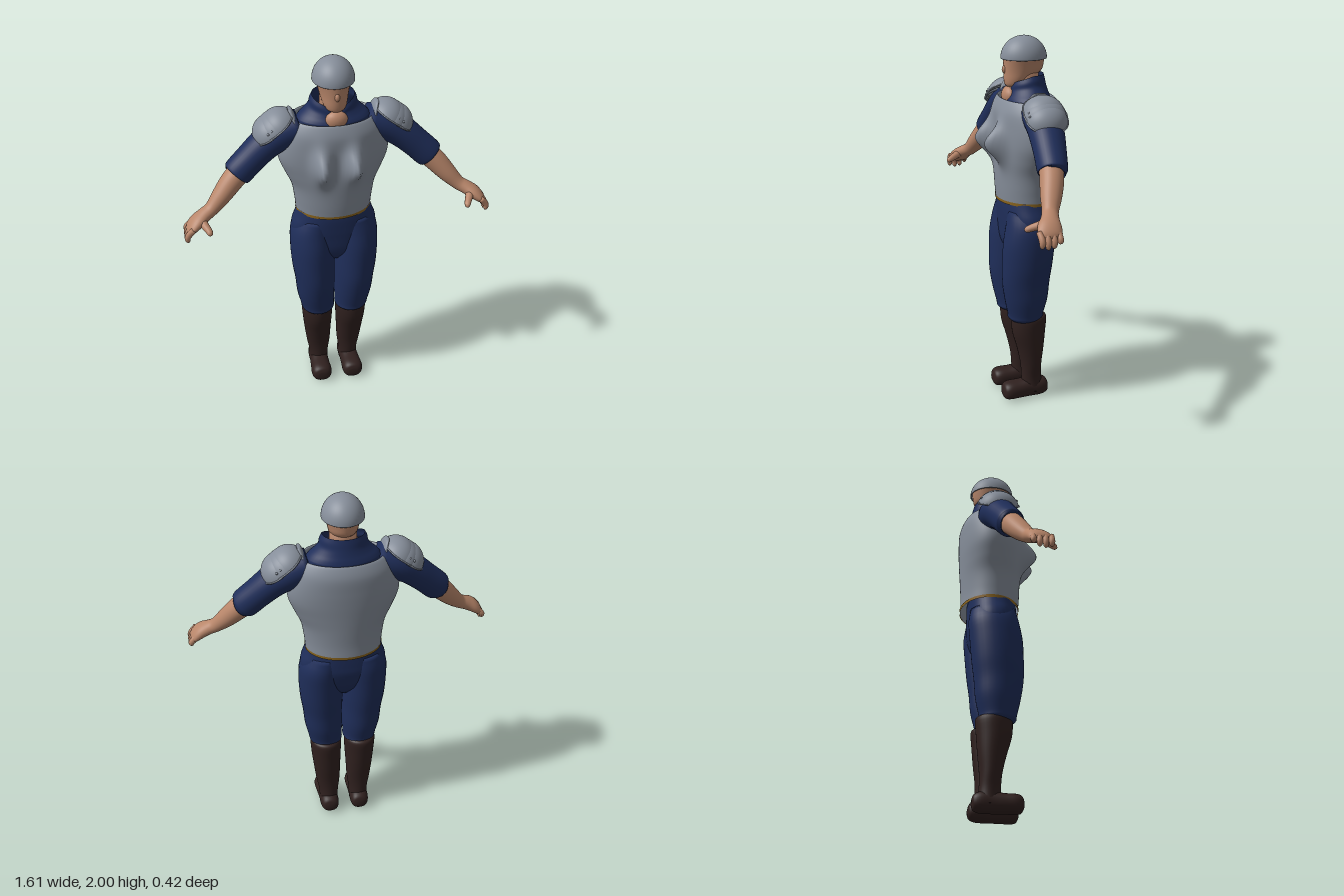
import * as THREE from 'three';

const UP = new THREE.Vector3(0, 1, 0);
const X = new THREE.Vector3(1, 0, 0);
const Z = new THREE.Vector3(0, 0, 1);

// Smooth skin through sections [x, y, z, radiusU, radiusV].
// dir fixes the ring plane; otherwise rings follow the path. ref is the V axis.
function loft(sections, { dir = null, ref = Z, n = 32, steps = 4, p = 2, caps = true } = {}) {
  const path = new THREE.CatmullRomCurve3(sections.map(s => new THREE.Vector3(s[0], s[1], s[2])), false, 'catmullrom');
  const radii = new THREE.CatmullRomCurve3(sections.map(s => new THREE.Vector3(s[3], s[4], 0)), false, 'catmullrom');
  const rows = (sections.length - 1) * steps, pos = [], idx = [];
  const pw = v => Math.sign(v) * Math.pow(Math.abs(v), 2 / p);
  for (let i = 0; i <= rows; i++) {
    const c = path.getPoint(i / rows), r = radii.getPoint(i / rows);
    const T = dir || path.getTangent(i / rows);
    const U = new THREE.Vector3().crossVectors(ref, T).normalize();
    const V = new THREE.Vector3().crossVectors(T, U);
    for (let j = 0; j < n; j++) {
      const a = j / n * Math.PI * 2;
      const q = c.clone().addScaledVector(U, pw(Math.cos(a)) * r.x).addScaledVector(V, pw(Math.sin(a)) * r.y);
      pos.push(q.x, q.y, q.z);
      if (i < rows) {
        const A = i * n + j, B = i * n + (j + 1) % n;
        idx.push(A, B, A + n, B, B + n, A + n);
      }
    }
  }
  if (caps) {
    const a = path.getPoint(0), b = path.getPoint(1), k = pos.length / 3;
    pos.push(a.x, a.y, a.z, b.x, b.y, b.z);
    for (let j = 0; j < n; j++) {
      const j2 = (j + 1) % n;
      idx.push(k, j2, j, k + 1, rows * n + j, rows * n + j2);
    }
  }
  const g = new THREE.BufferGeometry();
  g.setAttribute('position', new THREE.Float32BufferAttribute(pos, 3));
  g.setIndex(idx);
  g.computeVertexNormals();
  return g;
}

// Moves each vertex by a rule, then refreshes the normals
function bend(g, rule) {
  const a = g.attributes.position, v = new THREE.Vector3();
  for (let i = 0; i < a.count; i++) {
    rule(v.fromBufferAttribute(a, i));
    a.setXYZ(i, v.x, v.y, v.z);
  }
  g.computeVertexNormals();
  return g;
}

function ball(x, y, z, rx, ry, rz, seg = 24) {
  return new THREE.SphereGeometry(1, seg, Math.ceil(seg / 2)).scale(rx, ry, rz).translate(x, y, z);
}

function mirrored(g) {
  const m = g.clone().scale(-1, 1, 1), ix = m.index;
  for (let i = 0; i < ix.count; i += 3) {
    const t = ix.getX(i);
    ix.setX(i, ix.getX(i + 1));
    ix.setX(i + 1, t);
  }
  return m;
}

export function createModel() {
  const model = new THREE.Group();
  model.name = 'armouredFigure';
  const mat = (name, color, double) => {
    const m = new THREE.MeshStandardMaterial({ color });
    m.name = name;
    if (double) m.side = THREE.DoubleSide;
    return m;
  };
  const steel = mat('steel', 0x868e9a, true), cloth = mat('blueCloth', 0x1f2e5a, true);
  const skin = mat('skin', 0xb8866a), leather = mat('darkLeather', 0x30211f), gold = mat('gold', 0x8c661f, true);
  const add = (name, g, m) => {
    const mesh = new THREE.Mesh(g, m);
    mesh.name = name;
    model.add(mesh);
  };
  const pair = (name, g, m) => {
    add(name + 'Left', g, m);
    add(name + 'Right', mirrored(g), m);
  };

  // Head, nose, neck and cap
  add('head', loft([[0, 1.738, .02, .025, .03], [0, 1.752, .012, .05, .052], [0, 1.78, -.003, .063, .072],
    [0, 1.82, -.03, .074, .1], [0, 1.86, -.036, .083, .107], [0, 1.91, -.037, .097, .11]], { dir: UP }), skin);
  add('nose', ball(0, 1.83, .066, .014, .022, .016, 12), skin);
  add('neck', loft([[0, 1.64, -.045, .075, .07], [0, 1.84, -.045, .068, .07]], { dir: UP }), skin);
  add('throat', ball(0, 1.693, .042, .06, .052, .04), skin);
  add('cap', new THREE.SphereGeometry(1, 40, 14, 0, Math.PI * 2, 0, Math.PI / 2)
    .scale(.108, .115, .121).translate(0, 1.885, -.037), steel);
  add('capRim', new THREE.TorusGeometry(1, .03, 6, 40).rotateX(Math.PI / 2)
    .scale(.105, .12, .118).translate(0, 1.886, -.037), steel);

  // Shirt yoke rising into a high collar, lower and notched in front
  add('collar', bend(loft([[0, 1.55, -.05, .18, .12], [0, 1.66, -.05, .19, .122], [0, 1.69, -.05, .18, .118],
    [0, 1.72, -.05, .15, .108], [0, 1.75, -.05, .126, .1], [0, 1.78, -.048, .12, .096], [0, 1.805, -.048, .108, .09]],
  { dir: UP, n: 48, caps: false }), v => {
    const f = THREE.MathUtils.clamp((v.z + .05) / .1, 0, 1);
    if (v.y > 1.68) v.y = 1.68 + (v.y - 1.68) * (1 - f * (.3 + .4 * Math.exp(-((v.x / .04) ** 2))));
  }), cloth);

  // Cuirass with two pointed chest bulges and a turned-in neck edge
  add('cuirass', bend(loft([[0, 1.14, -.05, .2, .156], [0, 1.21, -.046, .207, .158], [0, 1.3, -.046, .222, .162],
    [0, 1.38, -.047, .256, .165], [0, 1.46, -.049, .286, .167], [0, 1.54, -.05, .287, .168], [0, 1.62, -.05, .264, .166],
    [0, 1.675, -.05, .228, .147], [0, 1.682, -.05, .208, .135], [0, 1.65, -.05, .2, .13]],
  { dir: UP, n: 112, steps: 6, caps: false }), v => {
    if (v.z > 0) v.z += .095 * Math.exp(-(((Math.abs(v.x) - .085) / .042) ** 2) - ((v.y - 1.465) / .085) ** 2);
  }), steel);
  add('waistTrim', loft([[0, 1.138, -.05, .203, .159], [0, 1.154, -.05, .204, .16]],
    { dir: UP, n: 64, steps: 1, caps: false }), gold);

  // Breeches
  add('hips', loft([[0, .83, -.025, .08, .06], [0, .9, -.028, .16, .11], [0, 1, -.038, .222, .13],
    [0, 1.06, -.038, .227, .133], [0, 1.12, -.037, .206, .133], [0, 1.18, -.04, .19, .13]], { dir: UP, n: 48, p: 2.2 }), cloth);
  pair('breechesLeg', loft([[.094, .475, -.018, .08, .085], [.094, .49, -.016, .091, .097], [.097, .515, -.015, .093, .099],
    [.105, .6, -.015, .104, .118], [.11, .7, -.012, .109, .13], [.116, .8, -.018, .117, .137],
    [.12, .92, -.026, .119, .14], [.117, 1.02, -.038, .116, .135], [.1, 1.1, -.04, .098, .122]], { dir: UP }), cloth);

  // Boots
  pair('bootShaft', loft([[.087, .04, -.06, .052, .06], [.086, .12, -.054, .054, .056], [.088, .2, -.05, .066, .058],
    [.092, .3, -.044, .075, .074], [.095, .4, -.034, .083, .092], [.096, .48, -.035, .086, .096],
    [.096, .5, -.035, .07, .08]], { dir: UP }), leather);
  pair('bootFoot', loft([[.086, .052, -.146, .015, .018], [.086, .054, -.135, .04, .042], [.087, .056, -.1, .054, .052],
    [.088, .056, -.04, .055, .052], [.09, .053, .02, .051, .055], [.091, .052, .075, .05, .058],
    [.091, .05, .104, .042, .048], [.091, .05, .116, .02, .025]], { dir: Z, ref: X, p: 2.3 }), leather);

  // Sleeves and arms
  pair('sleeve', loft([[.17, 1.64, -.045, .08, .09], [.27, 1.605, -.045, .09, .096], [.35, 1.555, -.035, .083, .09],
    [.43, 1.485, -.022, .078, .082], [.49, 1.428, -.01, .078, .077], [.508, 1.41, -.006, .073, .072],
    [.511, 1.407, -.005, .058, .058]]), cloth);
  pair('forearm', loft([[.46, 1.45, -.012, .058, .058], [.53, 1.385, .007, .058, .06], [.595, 1.315, .035, .049, .053],
    [.65, 1.26, .06, .037, .041], [.69, 1.237, .076, .035, .045], [.73, 1.213, .092, .034, .058],
    [.763, 1.185, .103, .026, .06], [.778, 1.165, .106, .014, .045]]), skin);
  for (let k = 0; k < 4; k++) {
    const z = .06 + k * .03, drop = [.022, .004, 0, .008][k];
    pair('finger' + (k + 1), loft([[.755, 1.2, z + .004, .015, .015], [.777, 1.175, z, .017, .016],
      [.789, 1.15 + drop * .5, z, .015, .015], [.786, 1.128 + drop, z, .012, .012],
      [.782, 1.12 + drop, z, .003, .003]], { n: 12, steps: 3 }), skin);
  }
  pair('thumb', loft([[.71, 1.225, .095, .026, .026], [.697, 1.212, .135, .021, .021], [.682, 1.2, .165, .018, .018],
    [.673, 1.19, .188, .014, .014], [.67, 1.187, .197, .004, .004]], { ref: X, n: 14, steps: 3 }), skin);

  // Shoulder guards: overlapping tilted domes with rolled rims and rivets
  const layers = [[.315, 1.607, .1, .112, 1.32], [.293, 1.624, .1, .115, 1.3], [.272, 1.638, .102, .112, 1.3]];
  layers.forEach(([x, y, r, rz, cut], k) => {
    const place = g => g.scale(r, r, rz).rotateZ(-.62).translate(x, y, -.042);
    const R = Math.sin(cut), h = Math.cos(cut);
    pair('shoulderPlate' + (k + 1), place(new THREE.SphereGeometry(1, 36, 12, 0, Math.PI * 2, 0, cut)), steel);
    pair('shoulderRim' + (k + 1), place(new THREE.TorusGeometry(R, .045, 6, 36).rotateX(Math.PI / 2).translate(0, h, 0)), steel);
    if (k === 0) return;
    for (let i = 0; i < 7; i++) {
      const a = (i - 3) * .42, t = cut - .28;
      pair('rivet', place(new THREE.SphereGeometry(.065, 8, 6)
        .translate(Math.sin(t) * Math.cos(a) * 1.01, Math.cos(t) * 1.01, Math.sin(t) * Math.sin(a) * 1.01)), steel);
    }
  });
  pair('shoulderCrest', loft([[.205, 1.655, -.04, .012, .07], [.21, 1.7, -.04, .014, .06], [.222, 1.735, -.04, .012, .035],
    [.228, 1.742, -.04, .006, .015]], { dir: UP, n: 20 }), steel);

  return model;
}
